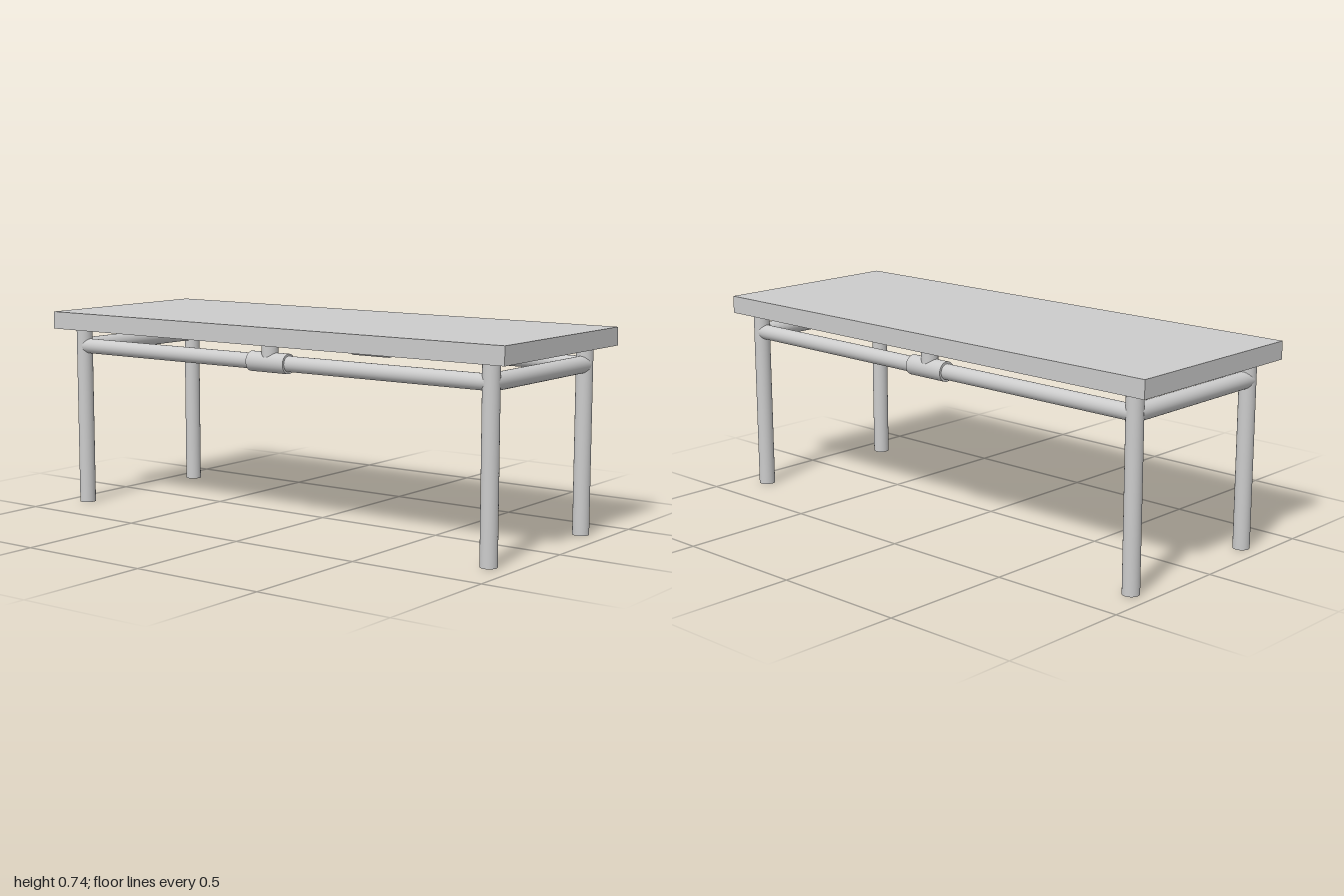
import * as THREE from 'three';

export function createModel() {
  const table = new THREE.Group();
  table.name = 'table';
  const material = new THREE.MeshStandardMaterial({ color: 0xcccccc });

  const legX = [-0.297, 0.324];
  const legZ = [0.902, -0.92];
  const railY = 0.608;
  const topBottom = 0.675;
  const topHeight = 0.065;

  // Round bar between two points
  function bar(name, from, to, radius) {
    const a = new THREE.Vector3(...from);
    const b = new THREE.Vector3(...to);
    const direction = b.clone().sub(a);
    const geometry = new THREE.CylinderGeometry(radius, radius, direction.length(), 32);
    const mesh = new THREE.Mesh(geometry, material);
    mesh.name = name;
    mesh.position.copy(a).add(b).multiplyScalar(0.5);
    mesh.quaternion.setFromUnitVectors(new THREE.Vector3(0, 1, 0), direction.normalize());
    table.add(mesh);
  }

  // Flat slab top
  const top = new THREE.Mesh(new THREE.BoxGeometry(0.76, topHeight, 2), material);
  top.name = 'tableTop';
  top.position.y = topBottom + topHeight / 2;
  table.add(top);

  // Legs, long rails, and the sleeve joint with its short post to the top
  const middle = -0.008;
  for (const x of legX) {
    for (const z of legZ) bar('leg', [x, 0, z], [x, topBottom, z], 0.03);
    bar('sideRail', [x, railY, legZ[0]], [x, railY, legZ[1]], 0.028);
    bar('railSleeve', [x, railY, middle + 0.083], [x, railY, middle - 0.083], 0.036);
    bar('sleevePost', [x, railY, middle], [x, topBottom, middle], 0.03);
  }

  // Short rails across each end
  for (const z of legZ) {
    bar('endRail', [legX[0], railY, z], [legX[1] - 0.007, railY, z], 0.0305);
  }

  return table;
}
